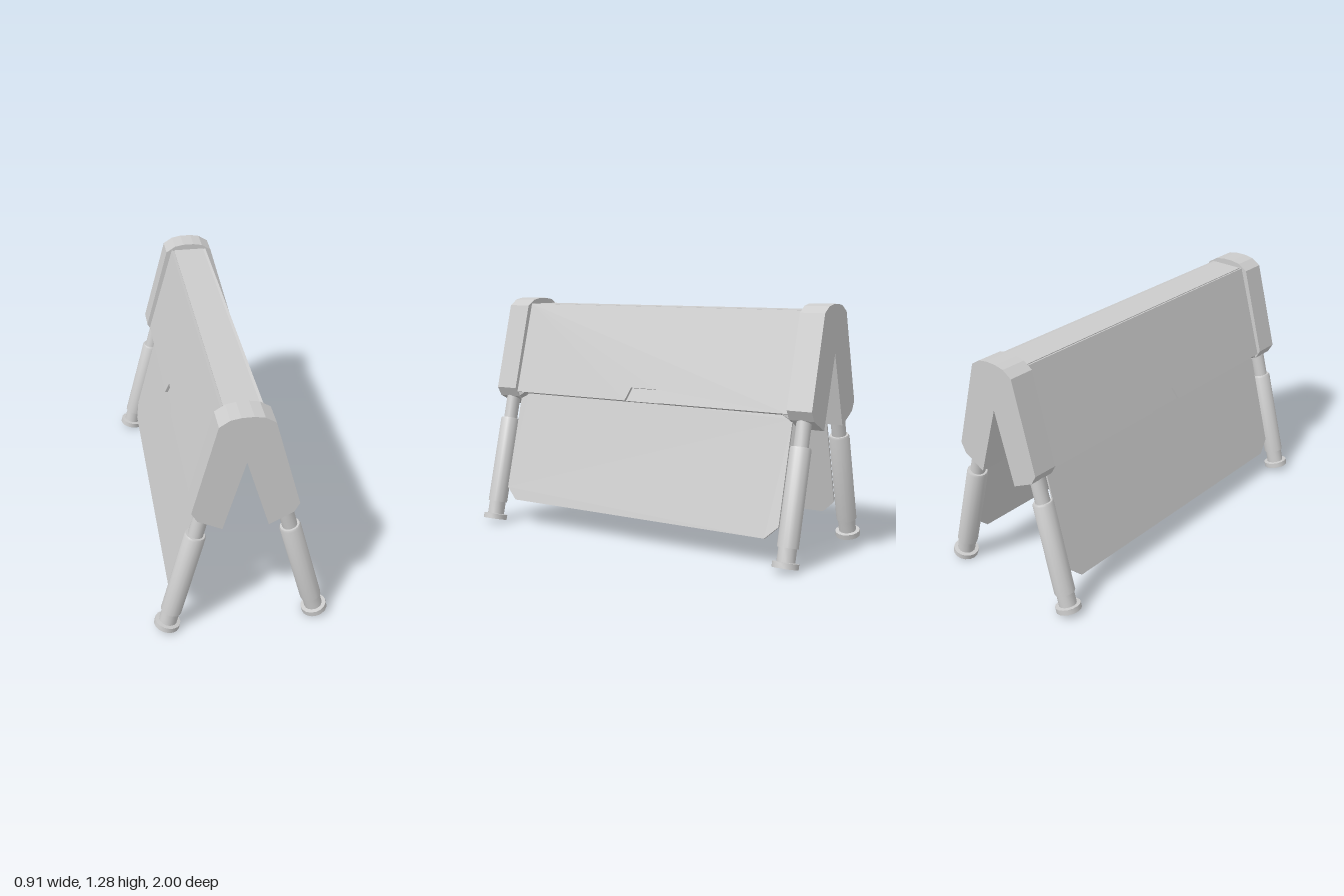
import * as THREE from 'three';
import { toCreasedNormals } from 'three/addons/utils/BufferGeometryUtils.js';
import { ConvexGeometry } from 'three/addons/geometries/ConvexGeometry.js';

const material = new THREE.MeshStandardMaterial({ color: 0xcccccc, side: THREE.DoubleSide });
const LEAN = 0.262; // legs and lower panels lean about 15 degrees
const CAP_IN = 0.865;

function part(name, geometry, parent) {
  const mesh = new THREE.Mesh(geometry, material);
  mesh.name = name;
  parent.add(mesh);
  return mesh;
}

function extrude(points, depth) {
  const shape = new THREE.Shape(points.map(([x, y]) => new THREE.Vector2(x, y)));
  return new THREE.ExtrudeGeometry(shape, { depth, bevelEnabled: false });
}

// Full outline from its right half, mirrored in x; points on the axis are kept once
function mirrored(half) {
  const left = half.filter(([x]) => x > 0).map(([x, y]) => [-x, y]).reverse();
  return [...half, ...left];
}

// Slab leaning inwards on the +x side; its outer face starts at base
function leaningSlab(name, points, depth, angle, [x, y], parent) {
  const geometry = extrude(points, depth).translate(0, 0, -depth);
  const c = Math.cos(angle), s = Math.sin(angle);
  geometry.applyMatrix4(new THREE.Matrix4().makeBasis(
    new THREE.Vector3(0, 0, -1), new THREE.Vector3(-s, c, 0), new THREE.Vector3(c, s, 0)));
  geometry.translate(x, y, 0);
  return part(name, geometry, parent);
}

// Telescopic leg with a hollow foot, turned around its own axis
function makeLeg() {
  const profile = [
    [0, 0.02], [0.046, 0.02], [0.052, 0], [0.066, 0], [0.066, 0.028], [0.046, 0.03],
    [0.046, 0.1], [0.0535, 0.1], [0.0535, 0.582], [0.049, 0.592], [0.038, 0.592],
    [0.038, 0.76], [0, 0.76],
  ].map(([r, y]) => new THREE.Vector2(r, y));
  return toCreasedNormals(new THREE.LatheGeometry(profile, 16), 0.6);
}

function makeSide(name) {
  const side = new THREE.Group();
  side.name = name;

  // Upper panel with a finger notch in its lower edge
  leaningSlab('upperPanel', mirrored([
    [0.11, 0], [CAP_IN, 0], [CAP_IN, 0.5206]]).concat([[-0.11, 0], [-0.08, 0.072], [0.08, 0.072]])
    .filter((p, i) => !(i === 5)), 0.015, 0.2822, [0.245, 0.75], side);

  // Thin lower panel with cut corners
  leaningSlab('lowerPanel', mirrored([
    [0.8, 0], [0.87, 0.066], [0.87, 0.6], [0.82, 0.64]]), 0.01, LEAN, [0.355, 0.14], side);

  for (const end of [1, -1]) {
    const leg = part('leg', makeLeg(), side);
    leg.position.set(0.385, 0.018, end * 0.932);
    leg.rotation.z = LEAN;

    // Gusset between the end cap and the underside of the body
    const corners = [
      [0.23, 0.748, 0.82], [0.14, 0.724, 0.82],
      [0.23, 0.748, 0.87], [0.12, 0.724, 0.87],
      [0.228, 0.72, 0.87], [0.113, 0.662, 0.87],
    ].map(([x, y, z]) => new THREE.Vector3(x, y, end * z));
    part('gusset', new ConvexGeometry(corners), side);
  }
  return side;
}

export function createModel() {
  const model = new THREE.Group();
  model.name = 'barrier';

  // Inverted V body running between the caps
  const body = mirrored([
    [0, 1.14], [0.133, 0.72], [0.2306, 0.746], [0.0856, 1.246], [0.0856, 1.25]]);
  part('body', extrude(body, 2 * CAP_IN).translate(0, 0, -CAP_IN), model);

  // End caps with rounded tops
  const cap = mirrored([
    [0, 1.035], [0.112, 0.66], [0.232, 0.72], [0.26, 0.77],
    [0.131, 1.24], [0.08, 1.272], [0.03, 1.281]]);
  for (const z of [CAP_IN, -1]) {
    part('endCap', extrude(cap, 1 - CAP_IN).translate(0, 0, z), model);
  }

  // Both sides are the same, turned half a turn
  const left = makeSide('leftSide');
  const right = makeSide('rightSide');
  right.rotation.y = Math.PI;
  model.add(left, right);

  // Slight twist of the whole barrier
  model.rotation.y = -0.005;
  const root = new THREE.Group();
  root.add(model);
  return root;
}
